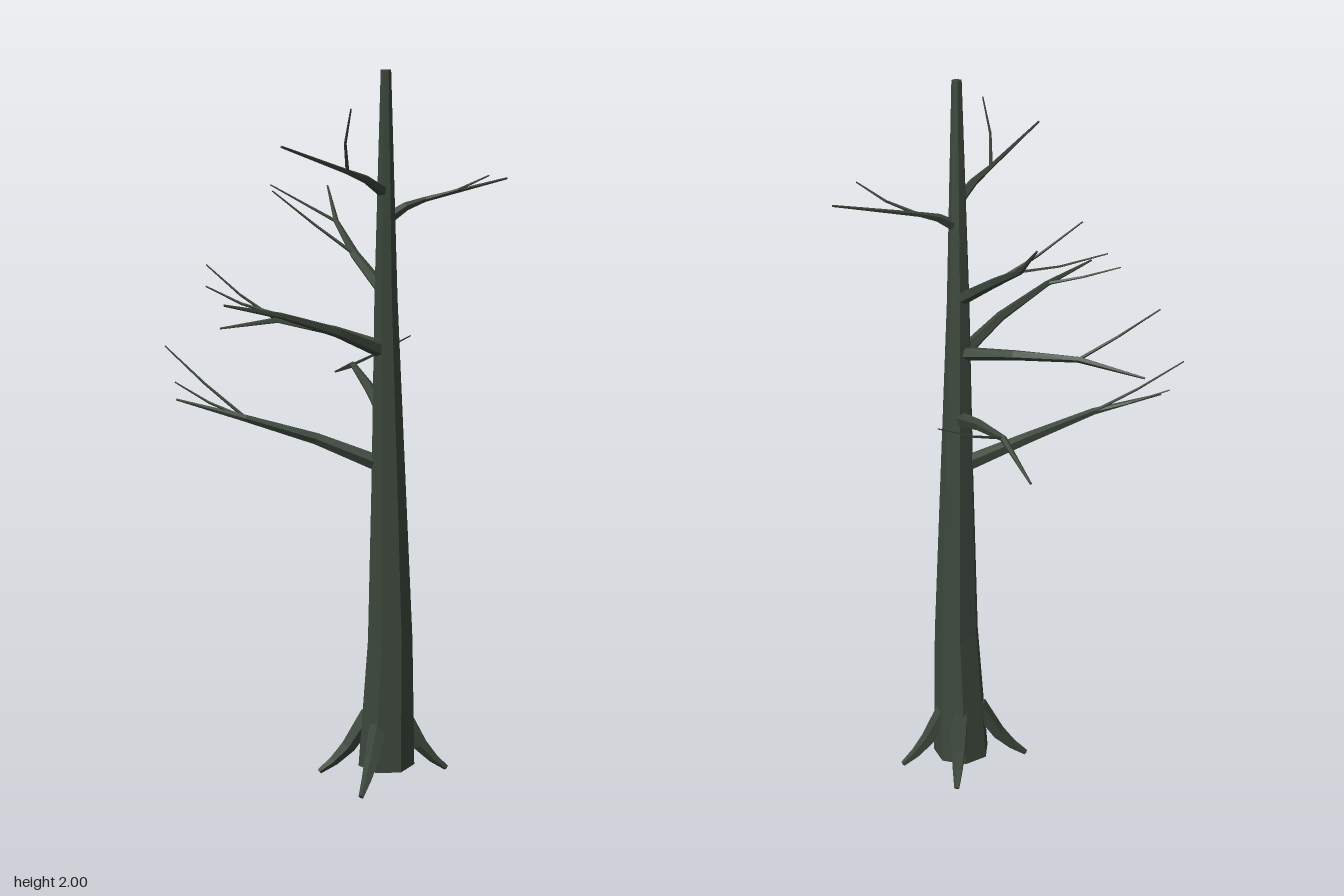
import * as THREE from 'three';

const bark = new THREE.MeshStandardMaterial({ color: 0x3c473c });
bark.name = 'dark bark';

const vec = (p) => new THREE.Vector3(...p);

// Faceted limb through centres with matching radii; level keeps the rings horizontal
function limb(name, centres, radii, sides, level = false) {
  const up = new THREE.Vector3(0, 1, 0);
  const last = centres.length - 1;
  const positions = [];
  const index = [];

  centres.forEach((c, k) => {
    const tangent = centres[Math.min(k + 1, last)].clone()
      .sub(centres[Math.max(k - 1, 0)]).normalize();
    const turn = new THREE.Quaternion();
    if (!level) turn.setFromUnitVectors(up, tangent);
    for (let i = 0; i < sides; i++) {
      const a = (i / sides) * Math.PI * 2;
      const p = new THREE.Vector3(Math.cos(a), 0, -Math.sin(a))
        .multiplyScalar(radii[k]).applyQuaternion(turn).add(c);
      positions.push(p.x, p.y, p.z);
    }
  });
  const bottom = centres.length * sides;
  const top = bottom + 1;
  positions.push(...centres[0].toArray(), ...centres[last].toArray());

  for (let i = 0; i < sides; i++) {
    const j = (i + 1) % sides;
    for (let k = 0; k < last; k++) {
      const a = k * sides + i, b = k * sides + j;
      index.push(a, b, b + sides, a, b + sides, a + sides);
    }
    index.push(j, i, bottom, last * sides + i, last * sides + j, top);
  }

  const indexed = new THREE.BufferGeometry();
  indexed.setAttribute('position', new THREE.Float32BufferAttribute(positions, 3));
  indexed.setIndex(index);
  const geometry = indexed.toNonIndexed();
  geometry.computeVertexNormals();
  const mesh = new THREE.Mesh(geometry, bark);
  mesh.name = name;
  return mesh;
}

// The trunk leans steadily forward with height
const trunkAxis = (y, x = 0.153) => new THREE.Vector3(x, y, 0.05 * y - 0.016);

// Point halfway between two others, raised by lift and bent sideways
function halfway(a, b, lift, bend) {
  const d = b.clone().sub(a);
  return a.clone().lerp(b, 0.5).add(new THREE.Vector3(d.z * bend, lift, -d.x * bend));
}

// Each branch: height on the trunk, bend, fork, tip, and its twigs
const branches = [
  { y: 0.93, bend: -0.035, fork: [-0.22, 1.07, 0.118], tip: [-0.41, 1.12, 0.136],
    twigs: [{ tip: [-0.465, 1.25, 0.038], bend: 0 }, { tip: [-0.43, 1.155, 0.07], bend: 0.03 }] },
  { y: 1.07, bend: 0, fork: [0.01, 1.15, -0.31], tip: [-0.07, 1.095, -0.482],
    twigs: [{ tip: [0.165, 1.22, -0.437], bend: 0.04 }] },
  { y: 1.25, bend: 0.03, fork: [-0.08, 1.385, 0.32], tip: [-0.205, 1.425, 0.435],
    twigs: [{ tip: [-0.29, 1.45, 0.27], bend: 0.05 }] },
  { y: 1.26, bend: -0.04, fork: [-0.18, 1.305, -0.125], tip: [-0.355, 1.27, -0.166],
    twigs: [{ tip: [-0.39, 1.455, -0.153], bend: 0.05 }] },
  { y: 1.41, bend: 0.05, fork: [-0.03, 1.575, -0.245], tip: [-0.078, 1.665, -0.385],
    twigs: [{ tip: [-0.25, 1.665, -0.395], bend: -0.05 },
      { tip: [-0.185, 1.67, -0.096], bend: -0.05, fromKnee: true }] },
  { y: 1.61, bend: 0, fork: [0.25, 1.66, 0], tip: [0.46, 1.71, -0.126],
    twigs: [{ tip: [0.425, 1.73, 0.068], bend: 0.05 }] },
  { y: 1.68, bend: 0, fork: [0.073, 1.745, 0.215], tip: [-0.047, 1.82, 0.482],
    twigs: [{ tip: [0.106, 1.907, 0.375], bend: -0.06 }] },
];

// Root tips on the ground, as x and z
const rootTips = [[0.325, -0.063], [0.154, -0.185], [-0.035, 0.022], [0.11, 0.178]];

export function createModel() {
  const tree = new THREE.Group();
  tree.name = 'bareTree';

  // Leaning, tapering trunk
  tree.add(limb('trunk',
    [trunkAxis(0.035, 0.154), trunkAxis(0.42, 0.165), trunkAxis(0.9, 0.16), trunkAxis(1.4), trunkAxis(2)],
    [0.083, 0.065, 0.048, 0.032, 0.014], 7, true));

  // Roots: from inside the trunk, steeply down, then flaring out
  const foot = trunkAxis(0);
  rootTips.forEach(([x, z], i) => {
    const at = (t, y) => foot.clone().lerp(new THREE.Vector3(x, 0, z), t).setY(y);
    tree.add(limb('root' + (i + 1),
      [at(0.25, 0.185), at(0.56, 0.088), at(0.78, 0.043), at(1, 0.01)],
      [0.028, 0.022, 0.015, 0.008], 5));
  });

  // Branches, thinner higher up, with their twigs
  branches.forEach(({ y, bend, fork, tip, twigs }, i) => {
    const branch = new THREE.Group();
    branch.name = 'branch' + (i + 1);
    const start = trunkAxis(y);
    const split = vec(fork);
    const knee = halfway(start, split, 0.008, bend);
    const r = 0.034 - 0.0105 * y;
    branch.add(limb('bough', [start, knee, split, vec(tip)], [r, r * 0.7, r * 0.42, 0.003], 5));
    twigs.forEach((t) => {
      const from = t.fromKnee ? knee : split;
      const end = vec(t.tip);
      branch.add(limb('twig', [from, halfway(from, end, -0.006, t.bend), end],
        [0.005, 0.0035, 0.002], 4));
    });
    tree.add(branch);
  });

  return tree;
}
